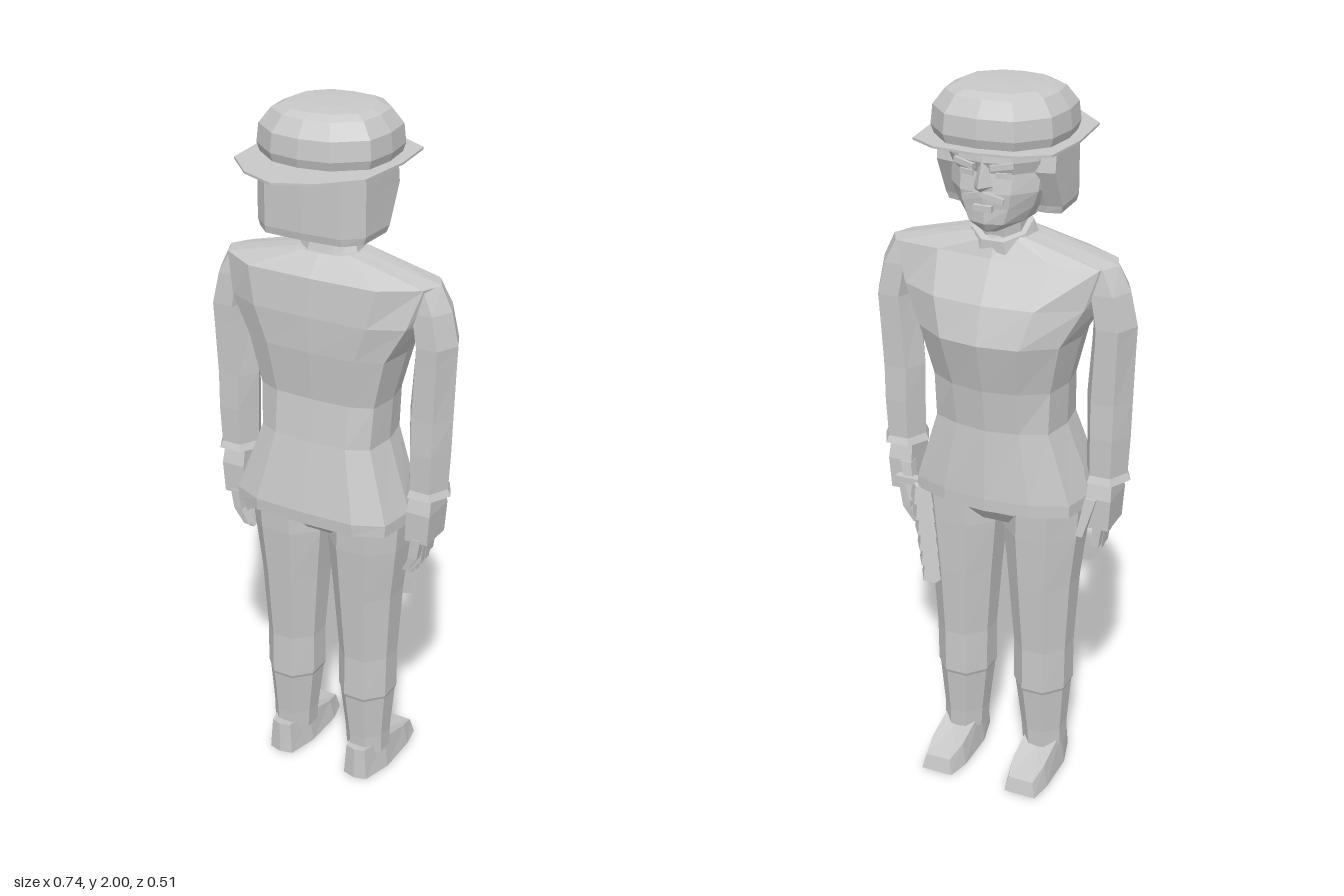
import * as THREE from 'three';

const grey = new THREE.MeshStandardMaterial({ color: 0xc8c8c8 });
grey.name = 'plain grey';

// Closed faceted skin over rings of [x, y, z], listed bottom to top.
function loft(rings, mirror = false) {
  const rs = mirror ? rings.map(r => r.map(([x, y, z]) => [-x, y, z]).reverse()) : rings;
  const n = rs[0].length, pos = [];
  const tri = (a, b, c) => pos.push(...a, ...b, ...c);
  const mid = r => [0, 1, 2].map(k => r.reduce((s, p) => s + p[k], 0) / n);
  const low = mid(rs[0]), top = rs[rs.length - 1], high = mid(top);
  for (let i = 0; i < n; i++) {
    const j = (i + 1) % n;
    for (let k = 0; k + 1 < rs.length; k++) {
      tri(rs[k][i], rs[k][j], rs[k + 1][j]);
      tri(rs[k][i], rs[k + 1][j], rs[k + 1][i]);
    }
    tri(low, rs[0][j], rs[0][i]);
    tri(high, top[i], top[j]);
  }
  const g = new THREE.BufferGeometry();
  g.setAttribute('position', new THREE.Float32BufferAttribute(pos, 3));
  g.computeVertexNormals();
  return g;
}

// Oval ring, optionally tilted so it is higher toward +z.
function oval(y, cx, cz, rx, rz, n = 8, tilt = 0) {
  return Array.from({ length: n }, (_, i) => {
    const a = (i + 0.5) / n * Math.PI * 2;
    return [cx + rx * Math.sin(a) / Math.cos(Math.PI / n), y + tilt * rz * Math.cos(a),
      cz + rz * Math.cos(a) / Math.cos(Math.PI / n)];
  });
}

// Symmetric ring from a half outline of [x, z], +z centre to -z centre.
function sym(y, half) {
  const other = half.slice(1, -1).reverse().map(([x, z]) => [-x, z]);
  return [...half, ...other].map(([x, z]) => [x, y, z]);
}

// Small box section between two points, for fingers and similar bits.
function strut(a, b, r0, r1) {
  const ring = (p, r) => oval(p[1], p[0], p[2], r, r, 4);
  return loft([ring(b, r1), ring(a, r0)]);
}

export function createModel() {
  const model = new THREE.Group();
  const add = (name, geo, parent = model) => {
    const m = new THREE.Mesh(geo, grey);
    m.name = name;
    parent.add(m);
    return m;
  };

  // Jacket: flared hem, narrow waist, full chest, sloping shoulders
  const coat = (y, w, zb, zf, sb, sf) => sym(y, [
    [0, zb], [w * 0.6, zb - 0.005], [w * 0.93, sb], [w, (sb + sf) / 2],
    [w * 0.9, sf], [w * 0.5, zf + 0.015], [0, zf]]);
  add('jacket', loft([
    coat(0.865, 0.25, 0.11, -0.195, 0.07, -0.14),
    coat(0.9, 0.25, 0.112, -0.195, 0.07, -0.14),
    coat(1.1, 0.18, 0.075, -0.185, 0.04, -0.14),
    coat(1.22, 0.185, 0.06, -0.2, 0.03, -0.14),
    coat(1.36, 0.22, 0.075, -0.235, 0.04, -0.16),
    coat(1.46, 0.28, 0.078, -0.205, 0.03, -0.13),
    coat(1.565, 0.315, 0.07, -0.14, 0.0, -0.11),
    coat(1.62, 0.085, 0.025, -0.12, 0.0, -0.1)]));

  // Collar and neck, tilted forward
  add('collar', loft([
    oval(1.58, 0, -0.055, 0.095, 0.075, 8, 0.35),
    oval(1.64, 0, -0.065, 0.075, 0.065, 8, 0.5)]));
  add('neck', loft([
    oval(1.6, 0, -0.06, 0.06, 0.05, 8, 0.3),
    oval(1.73, 0, -0.08, 0.06, 0.05, 8, 0.2)]));

  // Hair block round the back and sides
  const hair = (y, s, front) => sym(y, [[0, 0.11 * s], [0.11, 0.105 * s], [0.158 * s, 0.06],
    [0.162 * s, front], [0.12, front - 0.01], [0, front]]);
  add('hair', loft([hair(1.68, 0.96, -0.055), hair(1.7, 1, -0.06),
    hair(1.8, 1, -0.11), hair(1.87, 1, -0.1)]));

  // Face, jaw and features
  const face = (y, w, zf) => sym(y, [[0, -0.03], [w, -0.05], [w * 0.95, zf + 0.07],
    [w * 0.55, zf + 0.015], [0, zf]]);
  add('face', loft([
    face(1.645, 0.04, -0.165), face(1.67, 0.085, -0.182), face(1.71, 0.11, -0.182),
    face(1.75, 0.125, -0.185), face(1.8, 0.13, -0.176), face(1.83, 0.13, -0.19),
    face(1.868, 0.13, -0.185)]));
  add('nose', loft([
    sym(1.758, [[0, -0.17], [0.024, -0.18], [0, -0.2]]),
    sym(1.77, [[0, -0.17], [0.026, -0.18], [0, -0.216]]),
    sym(1.83, [[0, -0.17], [0.01, -0.18], [0, -0.192]])]));
  for (const s of [-1, 1]) {
    const bit = (name, w, h, d, x, y, z, tilt, yaw) => {
      const m = add(name, new THREE.BoxGeometry(w, h, d), model);
      m.position.set(s * x, y, z);
      m.rotation.set(0, s * yaw, s * tilt);
    };
    bit('eyebrow', 0.06, 0.014, 0.02, 0.05, 1.823, -0.178, 0.15, -0.25);
    bit('eye', 0.04, 0.014, 0.01, 0.05, 1.797, -0.168, 0, -0.25);
    bit('moustache', 0.055, 0.014, 0.02, 0.028, 1.743, -0.185, -0.3, -0.25);
  }
  add('lips', new THREE.BoxGeometry(0.05, 0.016, 0.02)).position.set(0, 1.713, -0.182);

  // Hat: faceted crown on a thin brim that runs long at the back of the head
  const crown = (y, s) => sym(y, [[0, 0.128], [0.085, 0.115], [0.165, 0.05], [0.177, -0.04],
    [0.165, -0.135], [0.095, -0.21], [0, -0.222]].map(([x, z]) => [x * s, -0.045 + (z + 0.045) * s]));
  add('hatCrown', loft([crown(1.868, 0.95), crown(1.895, 1), crown(1.945, 0.97),
    crown(1.985, 0.8), crown(1.997, 0.65), crown(2.0, 0.3)]));
  const brim = [[0, 0.255], [0.1, 0.21], [0.187, 0.12], [0.202, -0.05], [0.187, -0.19],
    [0.11, -0.238], [0, -0.25]];
  add('hatBrim', loft([sym(1.866, brim), sym(1.872, brim)]));

  // Pelvis under the jacket
  add('hips', loft([
    oval(0.8, 0, -0.05, 0.1, 0.07), oval(0.84, 0, -0.05, 0.22, 0.1),
    oval(0.9, 0, -0.05, 0.22, 0.11)]));

  for (const [side, mirror] of [['left', false], ['right', true]]) {
    const limb = new THREE.Group();
    limb.name = side + 'Limbs';
    model.add(limb);

    // Trouser leg and shoe
    add('leg', loft([
      oval(0.07, 0.125, -0.055, 0.058, 0.063), oval(0.13, 0.123, -0.055, 0.06, 0.066),
      oval(0.27, 0.12, -0.055, 0.073, 0.08), oval(0.28, 0.12, -0.055, 0.077, 0.084),
      oval(0.41, 0.12, -0.055, 0.078, 0.082), oval(0.62, 0.118, -0.053, 0.092, 0.096),
      oval(0.78, 0.12, -0.05, 0.108, 0.107), oval(0.88, 0.125, -0.05, 0.11, 0.11)], mirror), limb);
    const shoe = (w, yTop) => [[0.128, 0.04], [0.165, 0.03], [0.19, -0.06], [0.19, -0.19],
      [0.178, -0.255], [0.085, -0.255], [0.068, -0.19], [0.068, -0.06], [0.09, 0.03]]
      .map(([x, z]) => [0.128 + (x - 0.128) * w, yTop ? (z > -0.1 ? 0.1 : z > -0.2 ? 0.065 : 0.045) : 0,
        yTop ? z * 0.96 : z]);
    add('shoe', loft([shoe(1, false), shoe(0.8, true)], mirror), limb);

    // Sleeve with flared cuff
    add('sleeve', loft([
      oval(0.97, 0.298, -0.055, 0.058, 0.064, 6), oval(0.99, 0.298, -0.055, 0.05, 0.056, 6),
      oval(1.1, 0.3, -0.055, 0.053, 0.06, 6), oval(1.2, 0.3, -0.055, 0.055, 0.058, 6),
      oval(1.36, 0.308, -0.055, 0.052, 0.062, 6), oval(1.41, 0.31, -0.055, 0.052, 0.064, 6),
      oval(1.5, 0.292, -0.055, 0.05, 0.06, 6), oval(1.565, 0.26, -0.055, 0.05, 0.05, 6)], mirror), limb);

    // Hand: palm, bent fingers and thumb
    const hand = new THREE.Group();
    hand.name = 'hand';
    limb.add(hand);
    const s = mirror ? -1 : 1;
    add('palm', loft([
      oval(0.83, 0.29, -0.055, 0.034, 0.053, 4), oval(0.92, 0.295, -0.055, 0.035, 0.055, 4),
      oval(0.98, 0.295, -0.055, 0.032, 0.04, 4)], mirror), hand);
    for (let i = 0; i < 4; i++) {
      const z = -0.012 - i * 0.026, drop = [0, 0.02, 0.025, 0.01][i];
      add('fingerBase', strut([s * 0.292, 0.84, z], [s * 0.283, 0.78 - drop, z], 0.013, 0.012), hand);
      add('fingerTip', strut([s * 0.283, 0.78 - drop, z], [s * 0.257, 0.735 - drop, z], 0.012, 0.008), hand);
    }
    add('thumb', strut([s * 0.275, 0.92, -0.1], [s * 0.25, 0.81, -0.122], 0.016, 0.01), hand);
  }

  // Folded bundle hanging before the left thigh, with its strap to the hand
  const bundle = new THREE.Group();
  bundle.name = 'heldBundle';
  model.add(bundle);
  for (let i = 0; i < 6; i++) {
    const y = 0.875 - i * 0.048, r = 0.047 - i * 0.003;
    add('bundleFold', loft([
      oval(y - 0.05, 0.205 - i * 0.003, -0.125, r, 0.03, 6, 0.4),
      oval(y, 0.21 - i * 0.003, -0.12, r * 0.8, 0.024, 6, 0.4)]), bundle);
  }
  add('bundleStrap', new THREE.BoxGeometry(0.11, 0.02, 0.025), bundle).position.set(0.245, 0.87, -0.12);

  return model;
}
